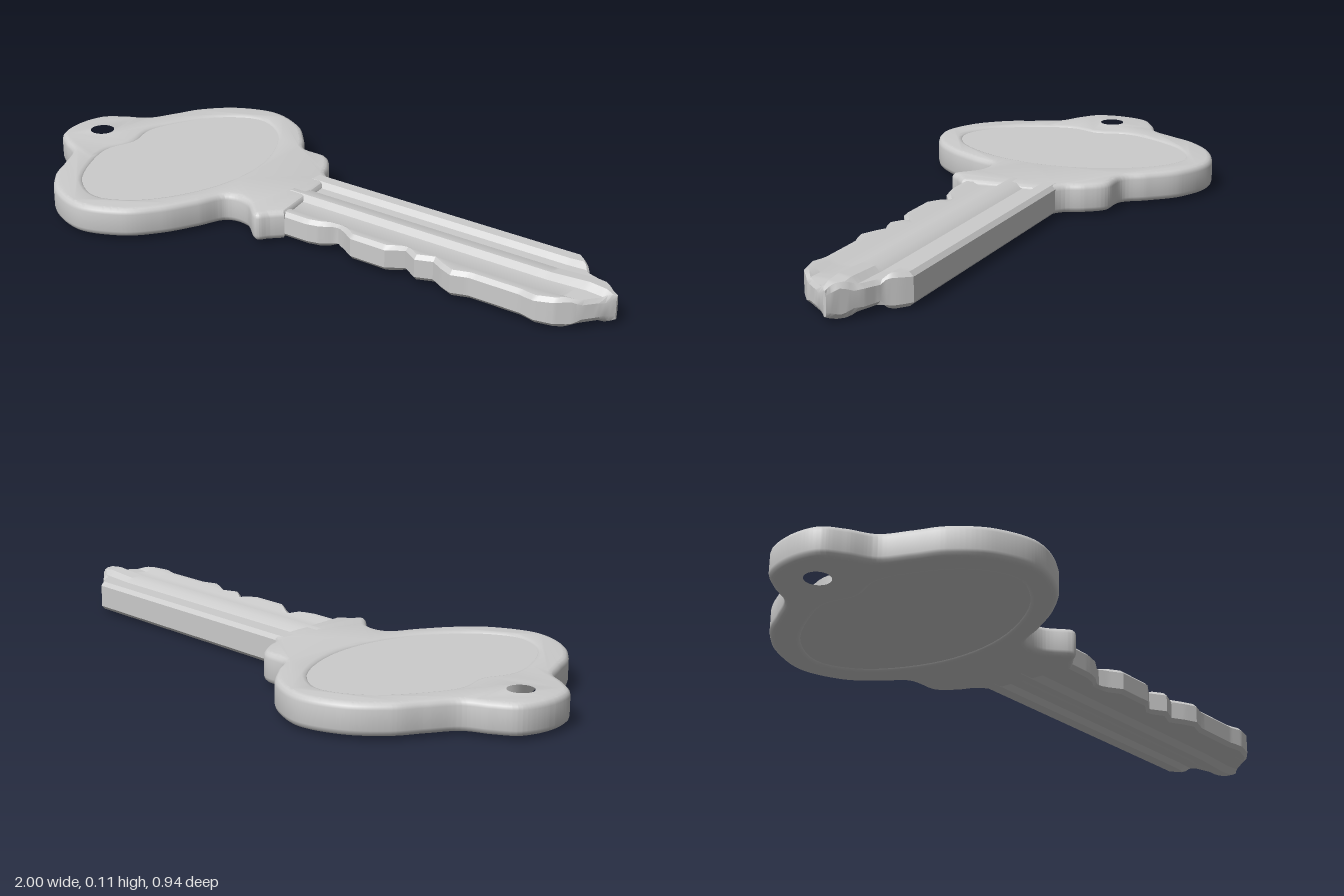
import * as THREE from 'three';
import { toCreasedNormals } from 'three/addons/utils/BufferGeometryUtils.js';

const MID = 0.058; // height of the key's middle plane
const material = new THREE.MeshStandardMaterial({ color: 0xcccccc });

const vectors = (pairs) => pairs.map(([x, z]) => new THREE.Vector2(x, z));

// Linear interpolation through [position, value] pairs
function sample(pairs, t) {
  if (t <= pairs[0][0]) return pairs[0][1];
  for (let i = 1; i < pairs.length; i++) {
    const [a, va] = pairs[i - 1], [b, vb] = pairs[i];
    if (t <= b) return va + (vb - va) * (t - a) / (b - a);
  }
  return pairs[pairs.length - 1][1];
}

function addMesh(group, name, geometry, crease) {
  const mesh = new THREE.Mesh(toCreasedNormals(geometry, crease), material);
  mesh.name = name;
  mesh.position.y = MID;
  group.add(mesh);
}

// Flat plate lying in xz, centred on y = 0
function plate(shape, thickness, bevel) {
  const geometry = new THREE.ExtrudeGeometry(shape, {
    depth: thickness - 2 * bevel, bevelEnabled: bevel > 0, bevelThickness: bevel,
    bevelSize: bevel, bevelOffset: -bevel, bevelSegments: 3, curveSegments: 24,
  });
  geometry.translate(0, 0, bevel - thickness / 2);
  return geometry.rotateX(Math.PI / 2);
}

// Handle outline, from the back shoulder round to the front shoulder
const bowOutline = [
  [-0.06, -0.14], [-0.10, -0.17], [-0.13, -0.225], [-0.18, -0.275], [-0.27, -0.285],
  [-0.325, -0.35], [-0.41, -0.43], [-0.54, -0.472], [-0.67, -0.43], [-0.76, -0.345],
  [-0.805, -0.26], [-0.85, -0.18], [-0.92, -0.14], [-0.98, -0.09], [-1, 0],
  [-0.98, 0.09], [-0.92, 0.14], [-0.85, 0.18], [-0.805, 0.26], [-0.76, 0.345],
  [-0.67, 0.43], [-0.54, 0.47], [-0.41, 0.42], [-0.33, 0.335], [-0.275, 0.235],
  [-0.235, 0.15], [-0.16, 0.145], [-0.085, 0.2], [-0.05, 0.17], [-0.02, 0.14],
];
// Half of the recessed oval, mirrored in z
const ovalHalf = [
  [-0.29, 0], [-0.32, 0.17], [-0.42, 0.335], [-0.54, 0.395], [-0.66, 0.335],
  [-0.75, 0.19], [-0.775, 0.1],
];
const ovalPoints = vectors([
  ...ovalHalf, [-0.75, 0], ...ovalHalf.slice(1).reverse().map(([x, z]) => [x, -z]),
]);

function ovalPath(scale) {
  const curve = new THREE.CatmullRomCurve3(
    ovalPoints.map((p) => new THREE.Vector3(-0.53 + (p.x + 0.53) * scale, p.y * scale, 0)), true);
  return curve.getPoints(64).slice(0, -1).map((p) => new THREE.Vector2(p.x, p.y));
}

function buildBow(group) {
  const points = vectors(bowOutline);
  const shape = new THREE.Shape();
  shape.moveTo(points[0].x, points[0].y);
  shape.splineThru(points.slice(1));
  shape.closePath();
  shape.holes.push(new THREE.Path().absarc(-0.89, 0, 0.056, 0, Math.PI * 2, true));
  shape.holes.push(new THREE.Path(ovalPath(0.97)));
  addMesh(group, 'handle', plate(shape, 0.091, 0.018), 0.6);
  addMesh(group, 'recessedPanel', plate(new THREE.Shape(ovalPath(1.02)), 0.079, 0), 0.6);
}

// Blade edges as [x, z], and half thickness across as [z, height]
const backEdge = [
  [-0.1, -0.148], [0.81, -0.148], [0.835, -0.125], [0.87, -0.085], [0.92, -0.065], [1, -0.004],
];
const frontEdge = [
  [-0.1, 0.138], [0.06, 0.138], [0.10, 0.128], [0.145, 0.098], [0.18, 0.115], [0.22, 0.14],
  [0.34, 0.14], [0.39, 0.107], [0.44, 0.138], [0.49, 0.118], [0.53, 0.14], [0.57, 0.157],
  [0.62, 0.14], [0.78, 0.14], [0.83, 0.15], [0.88, 0.135], [0.93, 0.095], [1, 0.004],
];
const grooveProfile = [
  [-0.148, 0.046], [-0.1, 0.046], [-0.085, 0.031], [-0.05, 0.031], [-0.03, 0.044],
  [0.008, 0.047], [0.028, 0.032], [0.085, 0.03], [0.105, 0.039], [0.16, 0.039],
];
const tipSwell = [[0.8, 1], [0.92, 1.16], [0.97, 1.05], [1, 0.75]];

function buildBlade(group) {
  const soft = 0.012, rows = 111, columns = grooveProfile.length + 4;
  const positions = [], indices = [];
  for (let r = 0; r < rows; r++) {
    const x = -0.1 + 1.1 * r / (rows - 1);
    const back = sample(backEdge, x), front = sample(frontEdge, x);
    const inset = Math.min(soft, (front - back) / 4);
    const across = [back, back + inset,
      ...grooveProfile.map(([z]) => THREE.MathUtils.clamp(z, back + inset, front - inset)),
      front - inset, front];
    const ring = across.map((z, i) => {
      const edge = i === 0 || i === columns - 1;
      const h = sample(grooveProfile, z) * sample(tipSwell, x);
      return [z, edge ? h - soft : h];
    });
    // Upper side back to front, then the underside front to back
    for (const [z, h] of ring) positions.push(x, h, z);
    for (const [z, h] of ring.reverse()) positions.push(x, -h, z);
  }
  const n = columns * 2;
  for (let r = 0; r < rows - 1; r++) {
    for (let i = 0; i < n; i++) {
      const a = r * n + i, b = r * n + (i + 1) % n;
      indices.push(a, b, a + n, b, b + n, a + n);
    }
  }
  // Close the narrow tip
  const last = (rows - 1) * n;
  for (let i = 0; i < columns - 1; i++) {
    const a = last + i, b = a + 1, c = last + n - 2 - i, d = c + 1;
    indices.push(a, b, d, b, c, d);
  }
  const geometry = new THREE.BufferGeometry();
  geometry.setAttribute('position', new THREE.Float32BufferAttribute(positions, 3));
  geometry.setIndex(indices);
  addMesh(group, 'blade', geometry, 0.5);
}

export function createModel() {
  const group = new THREE.Group();
  group.name = 'key';
  buildBow(group);
  buildBlade(group);
  return group;
}
